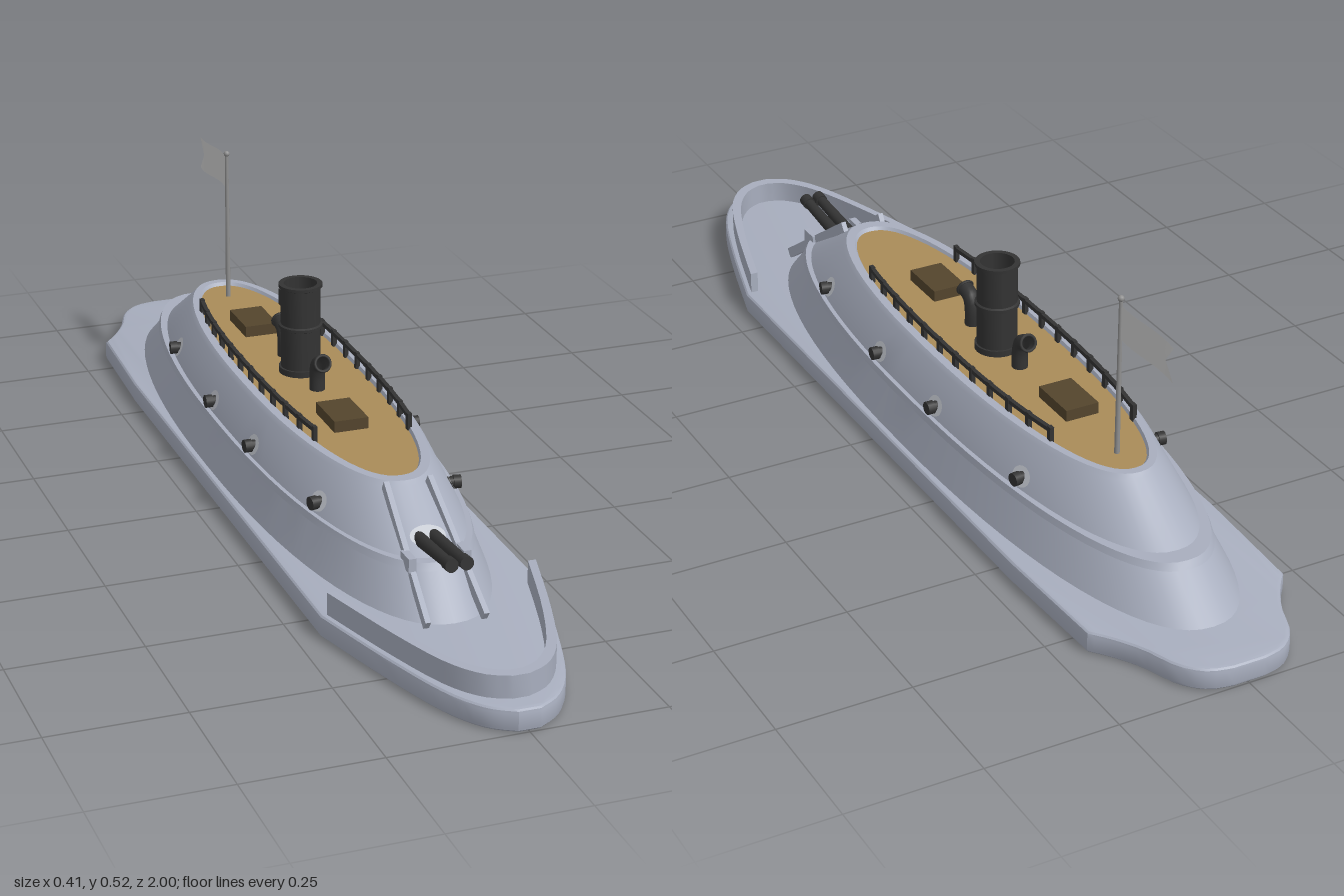
import * as THREE from 'three';
import { toCreasedNormals } from 'three/addons/utils/BufferGeometryUtils.js';

const mat = (name, color, side = THREE.FrontSide) => {
  const m = new THREE.MeshStandardMaterial({ color, side });
  m.name = name;
  return m;
};
const V = (x, y, z) => new THREE.Vector3(x, y, z);

// Superellipse plan: half-width w, from stern z to bow z
const POWER = 2.3;
function ring(w, front, back, n = 72) {
  const zc = (front + back) / 2, a = (front - back) / 2;
  const p = (v) => Math.sign(v) * Math.abs(v) ** (2 / POWER);
  return Array.from({ length: n }, (_, i) => {
    const t = (i / n) * Math.PI * 2;
    return [w * p(Math.cos(t)), zc + a * p(Math.sin(t))];
  });
}

// Skin stacked rings of [y, halfWidth, front, back]
function loft(levels) {
  const n = 72, pos = [], idx = [];
  for (const [y, w, f, b] of levels) for (const [x, z] of ring(w, f, b, n)) pos.push(x, y, z);
  for (let i = 0; i < levels.length - 1; i++) {
    for (let j = 0; j < n; j++) {
      const k = (j + 1) % n, a = i * n + j, b = i * n + k;
      idx.push(a, a + n, b, b, a + n, b + n);
    }
  }
  const g = new THREE.BufferGeometry();
  g.setAttribute('position', new THREE.Float32BufferAttribute(pos, 3));
  g.setIndex(idx);
  return toCreasedNormals(g, 0.45);
}

// Upper casemate wall: half-width x and outward normal at (z, y)
const LOW = [0.127, 0.164, 0.585, -0.765], HIGH = [0.205, 0.134, 0.455, -0.645];
function wallX(z, y) {
  const t = (y - LOW[0]) / (HIGH[0] - LOW[0]);
  const [, w, f, b] = LOW.map((v, i) => v + (HIGH[i] - v) * t);
  const u = Math.abs(z - (f + b) / 2) / ((f - b) / 2);
  return w * (1 - u ** POWER) ** (1 / POWER);
}
function wallNormal(z, y) {
  const e = 0.002, x = wallX(z, y);
  return V(1, -(wallX(z, y + e) - x) / e, -(wallX(z + e, y) - x) / e).normalize();
}

export function createModel() {
  const ship = new THREE.Group();
  ship.name = 'ironclad';
  const hullMat = mat('hull grey', 0xa8aebe);
  const deckMat = mat('deck tan', 0xa98b58);
  const ironMat = mat('black iron', 0x333333, THREE.DoubleSide);
  const hatchMat = mat('hatch brown', 0x54452d);
  const paleMat = mat('port pale grey', 0xc6cad2, THREE.DoubleSide);
  const poleMat = mat('pole grey', 0x909090);
  const flagMat = mat('flag grey', 0xcfcfcf, THREE.DoubleSide);

  const add = (name, geo, material, x = 0, y = 0, z = 0, parent = ship) => {
    const m = new THREE.Mesh(geo, material);
    m.name = name;
    m.position.set(x, y, z);
    parent.add(m);
    return m;
  };
  // Box or cylinder running from a to b
  const beam = (name, a, b, w, h, material) => {
    const m = add(name, new THREE.BoxGeometry(w, h, a.distanceTo(b)), material);
    m.position.copy(a).lerp(b, 0.5);
    m.lookAt(b);
    return m;
  };
  const rod = (name, a, b, r0, r1, material) => {
    const m = add(name, new THREE.CylinderGeometry(r1, r0, a.distanceTo(b), 14), material);
    m.position.copy(a).lerp(b, 0.5);
    m.quaternion.setFromUnitVectors(V(0, 1, 0), b.clone().sub(a).normalize());
    return m;
  };
  const mirror = (pts) => [...pts, ...pts.slice().reverse().map(([x, z]) => [-x, z])];
  const curve = (pts, n) => new THREE.SplineCurve(pts.map((p) => new THREE.Vector2(...p)))
    .getPoints(n).map((p) => [p.x, p.y]);
  const slab = (outline, bottom, top, bevel) => {
    const g = new THREE.ExtrudeGeometry(new THREE.Shape(outline.map((p) => new THREE.Vector2(...p))), {
      depth: top - bottom - 2 * bevel, bevelEnabled: bevel > 0, bevelSize: bevel,
      bevelThickness: bevel, bevelOffset: -bevel, bevelSegments: 3 });
    g.rotateX(Math.PI / 2).translate(0, top - bevel, 0);
    return toCreasedNormals(g, 0.5);
  };

  // Low hull with a hooked stern and a long tapering bow
  const stern = curve([[0.03, -1], [0.075, -0.988], [0.112, -0.95], [0.138, -0.885], [0.168, -0.835], [0.196, -0.8]], 14);
  const bow = curve([[0.207, 0.57], [0.158, 0.75], [0.112, 0.89], [0.068, 0.965], [0.02, 0.999]], 16);
  add('hull', slab(mirror([...stern, [0.207, -0.55], ...bow]), 0, 0.043, 0.008), hullMat);

  // Bulwark wall round the foredeck
  const wallOut = curve([[0.195, 0.572], [0.148, 0.74], [0.103, 0.87], [0.06, 0.935], [0.015, 0.96]], 14);
  const wallIn = curve([[0.18, 0.572], [0.134, 0.735], [0.088, 0.86], [0.048, 0.918], [0.012, 0.938]], 14);
  add('bulwark', slab([...mirror(wallOut), ...mirror(wallIn).reverse()], 0.04, 0.085, 0), hullMat);

  // Sloping armoured casemate with a ledge and a rim
  add('casemate', loft([
    [0.04, 0.196, 0.68, -0.89], [0.115, 0.17, 0.607, -0.79], [0.115, 0.175, 0.615, -0.81],
    [0.127, 0.172, 0.605, -0.8], LOW, HIGH, [0.213, 0.127, 0.444, -0.636],
    [0.213, 0.111, 0.42, -0.62], [0.205, 0.107, 0.412, -0.612],
  ]), hullMat);
  const deckShape = new THREE.Shape(ring(0.108, 0.414, -0.614).map(([x, z]) => new THREE.Vector2(x, -z)).reverse());
  add('upperDeck', new THREE.ShapeGeometry(deckShape).rotateX(-Math.PI / 2), deckMat, 0, 0.207, 0);

  // Ribs beside the bow gun
  for (const s of [-1, 1]) {
    beam('bowRib', V(s * 0.041, 0.212, 0.447), V(s * 0.054, 0.05, 0.683), 0.01, 0.02, hullMat);
    add('ribBlock', new THREE.BoxGeometry(0.014, 0.026, 0.04), hullMat, s * 0.051, 0.127, 0.585);
  }

  // Twin bow guns in their port
  const bowPort = add('bowPort', new THREE.CircleGeometry(0.02, 24).scale(1.65, 1.15, 1), paleMat, 0, 0.151, 0.547);
  bowPort.rotation.x = -Math.atan2(0.13, 0.078);
  for (const s of [-1, 1]) {
    rod('bowGun', V(s * 0.014, 0.142, 0.51), V(s * 0.014, 0.16, 0.69), 0.013, 0.01, ironMat);
    rod('bowGunMuzzle', V(s * 0.014, 0.1585, 0.672), V(s * 0.014, 0.1605, 0.692), 0.0125, 0.0125, ironMat);
  }

  // Broadside guns
  for (const s of [-1, 1]) {
    for (const z of [0.34, 0.06, -0.17, -0.46]) {
      const y = 0.147, n = wallNormal(z, y), x = wallX(z, y);
      const at = V(s * x, y, z), out = V(s * n.x, n.y, n.z);
      const port = add('gunPort', new THREE.CircleGeometry(0.02, 20).scale(1.2, 0.95, 1), paleMat);
      port.position.copy(at).addScaledVector(out, 0.002);
      port.lookAt(port.position.clone().add(out));
      const dir = V(s * n.x, 0, n.z).normalize();
      const p = (d) => at.clone().addScaledVector(dir, d);
      rod('sideGun', p(-0.03), p(0.016), 0.01, 0.01, ironMat);
      rod('sideGunMuzzle', p(0.006), p(0.02), 0.0125, 0.0125, ironMat);
    }
  }

  // Hollow funnel with bands
  const profile = [[0.038, 0.2], [0.038, 0.296], [0.042, 0.298], [0.042, 0.304], [0.038, 0.306], [0.038, 0.378],
    [0.042, 0.38], [0.042, 0.386], [0.032, 0.386], [0.032, 0.21], [0, 0.21]].map((p) => new THREE.Vector2(...p));
  add('funnel', toCreasedNormals(new THREE.LatheGeometry(profile, 24), 0.5), ironMat, 0.002, 0, -0.12);
  add('funnelBase', new THREE.CylinderGeometry(0.042, 0.042, 0.014, 24), ironMat, 0.002, 0.212, -0.12);

  // Ventilator cowls turned away from the funnel
  for (const [z, d] of [[-0.02, 1], [-0.205, -1]]) {
    const path = new THREE.CatmullRomCurve3([V(0, 0.2, z), V(0, 0.24, z), V(0, 0.26, z + d * 0.007), V(0, 0.27, z + d * 0.03)]);
    add('ventCowl', new THREE.TubeGeometry(path, 14, 0.015, 14), ironMat);
    const lip = add('ventLip', new THREE.TorusGeometry(0.015, 0.003, 8, 16), ironMat, 0, 0.27, z + d * 0.03);
    lip.rotation.x = -d * 0.35;
  }

  // Deck hatches
  for (const z of [0.14, -0.37]) add('hatch', new THREE.BoxGeometry(0.066, 0.024, 0.1), hatchMat, -0.009, 0.217, z);

  // Railings following the deck edge
  for (const s of [-1, 1]) {
    const pts = [];
    for (let i = 0; i < 12; i++) {
      const z = 0.22 - i * 0.0627;
      const x = s * (0.108 * (1 - (Math.abs(z + 0.1) / 0.53) ** POWER) ** (1 / POWER));
      pts.push(V(x, 0.234, z));
      add('railPost', new THREE.BoxGeometry(0.008, 0.034, 0.011), ironMat, x, 0.223, z);
    }
    for (let i = 0; i < 11; i++) beam('rail', pts[i], pts[i + 1], 0.008, 0.008, ironMat);
  }

  // Flagpole and swallow-tailed flag streaming aft
  rod('flagpole', V(-0.002, 0.2, -0.553), V(-0.002, 0.51, -0.553), 0.005, 0.0035, poleMat);
  add('poleCap', new THREE.SphereGeometry(0.006, 12, 8), poleMat, -0.002, 0.512, -0.553);
  const cloth = new THREE.PlaneGeometry(0.17, 0.066, 16, 2).rotateY(Math.PI / 2);
  const p = cloth.attributes.position;
  for (let i = 0; i < p.count; i++) {
    const t = (0.085 - p.getZ(i)) / 0.17;
    const notch = Math.max(0, t - 0.5) * 2 * 0.025 * (1 - Math.abs(p.getY(i)) / 0.033);
    p.setXYZ(i, 0.004 * Math.sin(t * 6), p.getY(i) + 0.002 * Math.sin(t * 5), p.getZ(i) + notch);
  }
  cloth.computeVertexNormals();
  add('flag', cloth, flagMat, -0.002, 0.467, -0.639);

  return ship;
}
